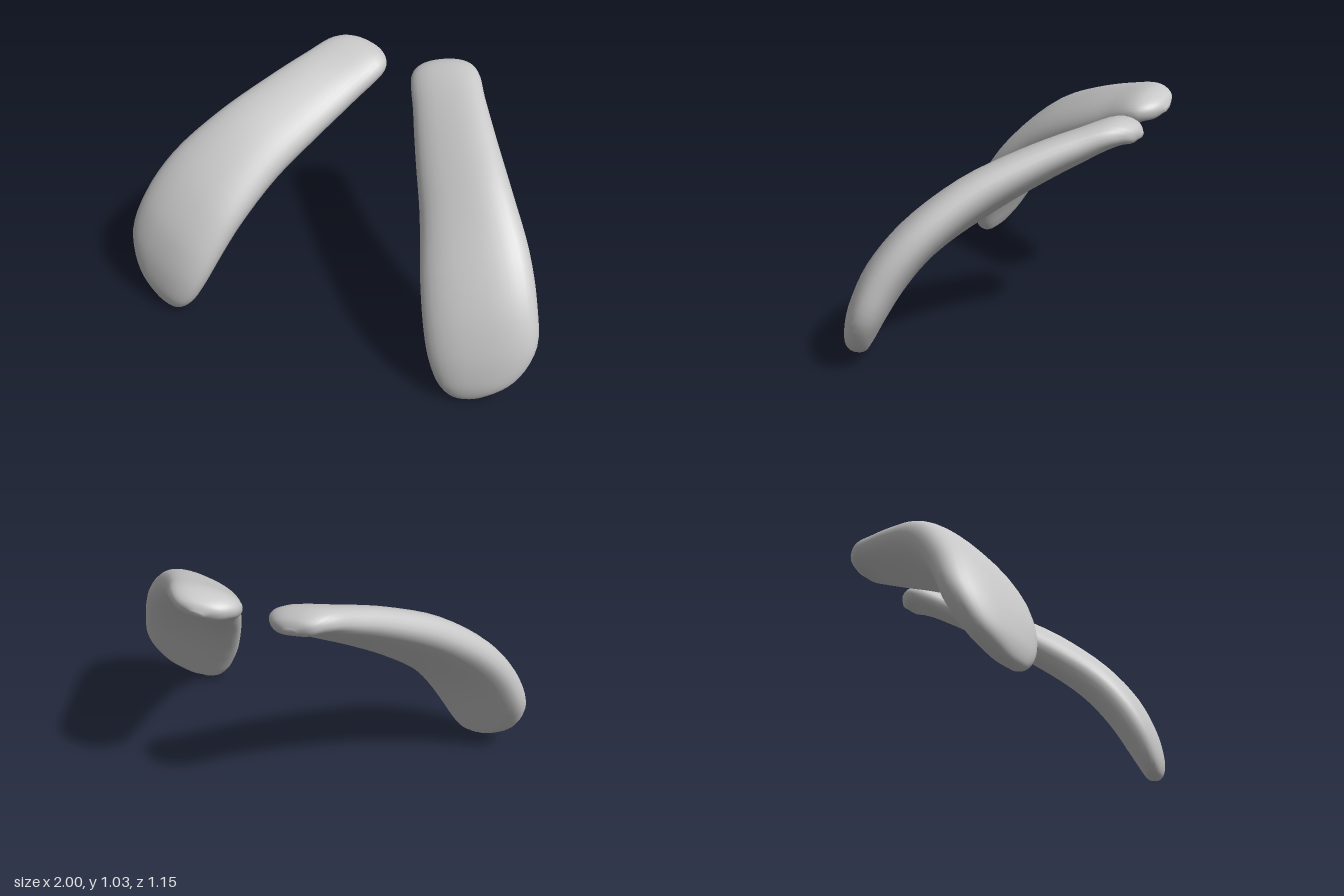
import * as THREE from 'three';

const RINGS = 56, SIDES = 32;

// Stations from the upper tip to the lower tip: inner rim, outer rim, half thickness
const stations = [
  [[0.185, 0.945, -0.575], [0.235, 0.955, -0.58], 0.012],
  [[0.11, 0.94, -0.53], [0.31, 0.975, -0.565], 0.045],
  [[0.07, 0.935, -0.455], [0.375, 0.99, -0.505], 0.062],
  [[0.15, 0.84, -0.28], [0.45, 0.96, -0.38], 0.075],
  [[0.25, 0.73, -0.08], [0.57, 0.89, -0.20], 0.088],
  [[0.36, 0.60, 0.13], [0.72, 0.78, 0.00], 0.1],
  [[0.45, 0.44, 0.34], [0.87, 0.62, 0.17], 0.102],
  [[0.51, 0.30, 0.45], [0.96, 0.45, 0.29], 0.1],
  [[0.56, 0.18, 0.51], [1.0, 0.27, 0.37], 0.088],
  [[0.62, 0.07, 0.535], [0.94, 0.12, 0.44], 0.065],
  [[0.67, 0.02, 0.53], [0.83, 0.035, 0.485], 0.04],
  [[0.715, 0.003, 0.515], [0.755, 0.005, 0.505], 0.01],
];

const curve = (pick) => new THREE.CatmullRomCurve3(
  stations.map((s) => new THREE.Vector3(...pick(s))), false, 'centripetal');
const soft = (v, e) => Math.sign(v) * Math.abs(v) ** e;

// Loft rounded flat cross-sections between the two rims; side = 1 left, -1 right
function padGeometry(side) {
  const inner = curve((s) => s[0]), outer = curve((s) => s[1]);
  const thick = curve((s) => [s[2], s[2] * 0.01, 0]);
  const centre = (t) => inner.getPoint(t).add(outer.getPoint(t)).multiplyScalar(0.5);
  const positions = [], index = [];
  const push = (p) => positions.push(p.x * side, p.y, p.z);
  const face = (a, b, c) => (side > 0 ? index.push(a, b, c) : index.push(a, c, b));

  for (let i = 0; i <= RINGS; i++) {
    const u = i / RINGS;
    const t = 0.5 * u + 0.25 * (1 - Math.cos(Math.PI * u)); // denser near the tips
    const c = centre(t);
    const half = outer.getPoint(t).sub(c);
    const along = centre(Math.min(1, t + 0.04)).sub(centre(Math.max(0, t - 0.04)));
    const normal = along.cross(half).normalize();
    const h = thick.getPoint(t).x;
    for (let j = 0; j < SIDES; j++) {
      const a = (j / SIDES) * Math.PI * 2;
      const w = soft(Math.cos(a), 0.85);
      let n = soft(Math.sin(a), 0.85);
      // shallow groove down the underside
      if (n < 0) n *= 1 - 0.12 * (1 - w * w) ** 2;
      push(c.clone().addScaledVector(half, w).addScaledVector(normal, n * h));
    }
  }
  for (let i = 0; i < RINGS; i++) {
    for (let j = 0; j < SIDES; j++) {
      const k = (j + 1) % SIDES;
      const a = i * SIDES + j, b = i * SIDES + k;
      face(a, b, b + SIDES);
      face(a, b + SIDES, a + SIDES);
    }
  }
  // Close both tips
  const first = (RINGS + 1) * SIDES, last = RINGS * SIDES;
  push(centre(0));
  push(centre(1));
  for (let j = 0; j < SIDES; j++) {
    const k = (j + 1) % SIDES;
    face(first, k, j);
    face(first + 1, last + j, last + k);
  }
  const geometry = new THREE.BufferGeometry();
  geometry.setAttribute('position', new THREE.Float32BufferAttribute(positions, 3));
  geometry.setIndex(index);
  geometry.computeVertexNormals();
  return geometry;
}

export function createModel() {
  const group = new THREE.Group();
  group.name = 'curvedPads';
  const grey = new THREE.MeshStandardMaterial({ color: 0xc8c8c8 });
  grey.name = 'lightGrey';
  for (const [name, side] of [['leftPad', 1], ['rightPad', -1]]) {
    const pad = new THREE.Mesh(padGeometry(side), grey);
    pad.name = name;
    group.add(pad);
  }
  return group;
}
